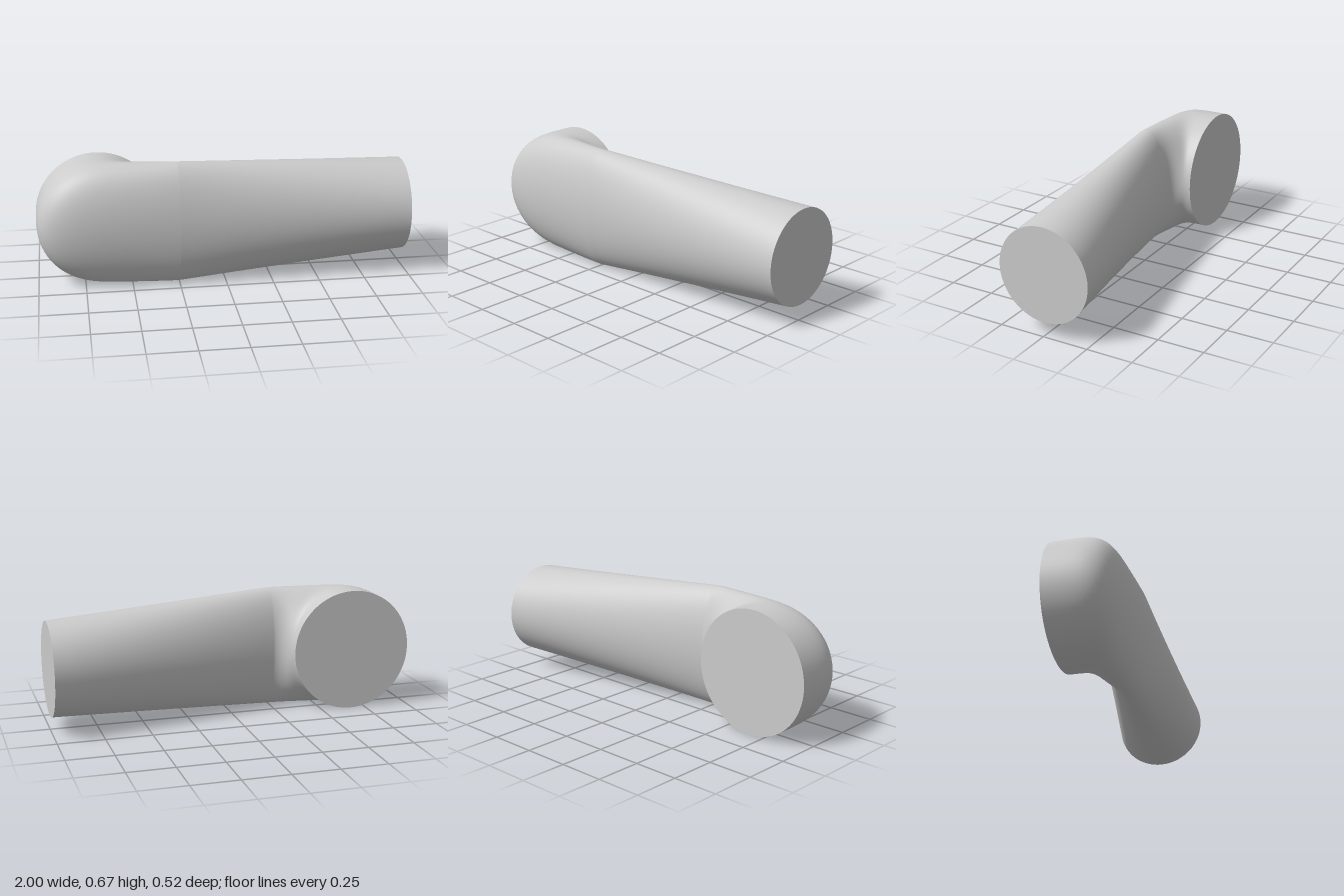
import * as THREE from 'three';

const SIDES = 72, BEND_X = -0.25, FACE_Z = -0.1, MID_Y = 0.333;

// Elliptical section standing upright between an inner and an outer plan point [x, z]
function ring(inner, outer, halfHeight) {
  const cx = (inner[0] + outer[0]) / 2, cz = (inner[1] + outer[1]) / 2;
  const dx = outer[0] - cx, dz = outer[1] - cz;
  return Array.from({ length: SIDES }, (_, j) => {
    const a = (j / SIDES) * Math.PI * 2;
    return [cx + dx * Math.cos(a), MID_Y + halfHeight * Math.sin(a), cz + dz * Math.cos(a)];
  });
}

function makeMesh(name, points, index) {
  const geometry = new THREE.BufferGeometry();
  geometry.setAttribute('position', new THREE.Float32BufferAttribute(points.flat(), 3));
  geometry.setIndex(index);
  geometry.computeVertexNormals();
  const mesh = new THREE.Mesh(geometry, new THREE.MeshStandardMaterial({ color: 0xcccccc }));
  mesh.name = name;
  return mesh;
}

// Smooth skin over a series of rings
function loft(name, rings) {
  const index = [];
  for (let i = 0; i < rings.length - 1; i++) {
    for (let j = 0; j < SIDES; j++) {
      const k = (j + 1) % SIDES;
      const a = i * SIDES + j, b = i * SIDES + k, c = a + SIDES, d = b + SIDES;
      index.push(a, c, b, b, c, d);
    }
  }
  return makeMesh(name, rings.flat(), index);
}

// Flat end face filling one ring
function cap(name, points, reversed) {
  const index = [];
  for (let j = 1; j < SIDES - 1; j++) index.push(0, reversed ? j + 1 : j, reversed ? j : j + 1);
  return makeMesh(name, points, index);
}

// Point on a superellipse around the bend corner, at a given sweep angle
function bendPoint(angle, a, b, power) {
  const c = Math.max(0, Math.cos(angle)), s = Math.sin(angle);
  const r = Math.pow(Math.pow(c / a, power) + Math.pow(s / b, power), -1 / power);
  return [BEND_X - r * c, FACE_Z + r * s];
}

export function createModel() {
  const group = new THREE.Group();
  group.name = 'elbowDuct';

  // Elbow: sections fan round the inside corner, from the back face to the arm
  const elbow = [];
  const steps = 64;
  for (let i = 0; i <= steps; i++) {
    const angle = (i / steps) * Math.PI / 2;
    elbow.push(ring(bendPoint(angle, 0.085, 0.1, 2), bendPoint(angle, 0.75, 0.361, 6), 0.333));
  }

  // Arm: straight blend from the flattened section to the round end
  const arm = [];
  const lerp = THREE.MathUtils.lerp;
  for (let i = 0; i <= 16; i++) {
    const t = i / 16, x = lerp(BEND_X, 1, t);
    arm.push(ring([x, lerp(0, -0.263, t)], [x, lerp(0.261, 0.243, t)], lerp(0.333, 0.253, t)));
  }

  group.add(
    loft('elbow', elbow),
    loft('arm', arm),
    cap('backFace', elbow[0], false),
    cap('armEndFace', arm[arm.length - 1], true),
  );
  return group;
}
